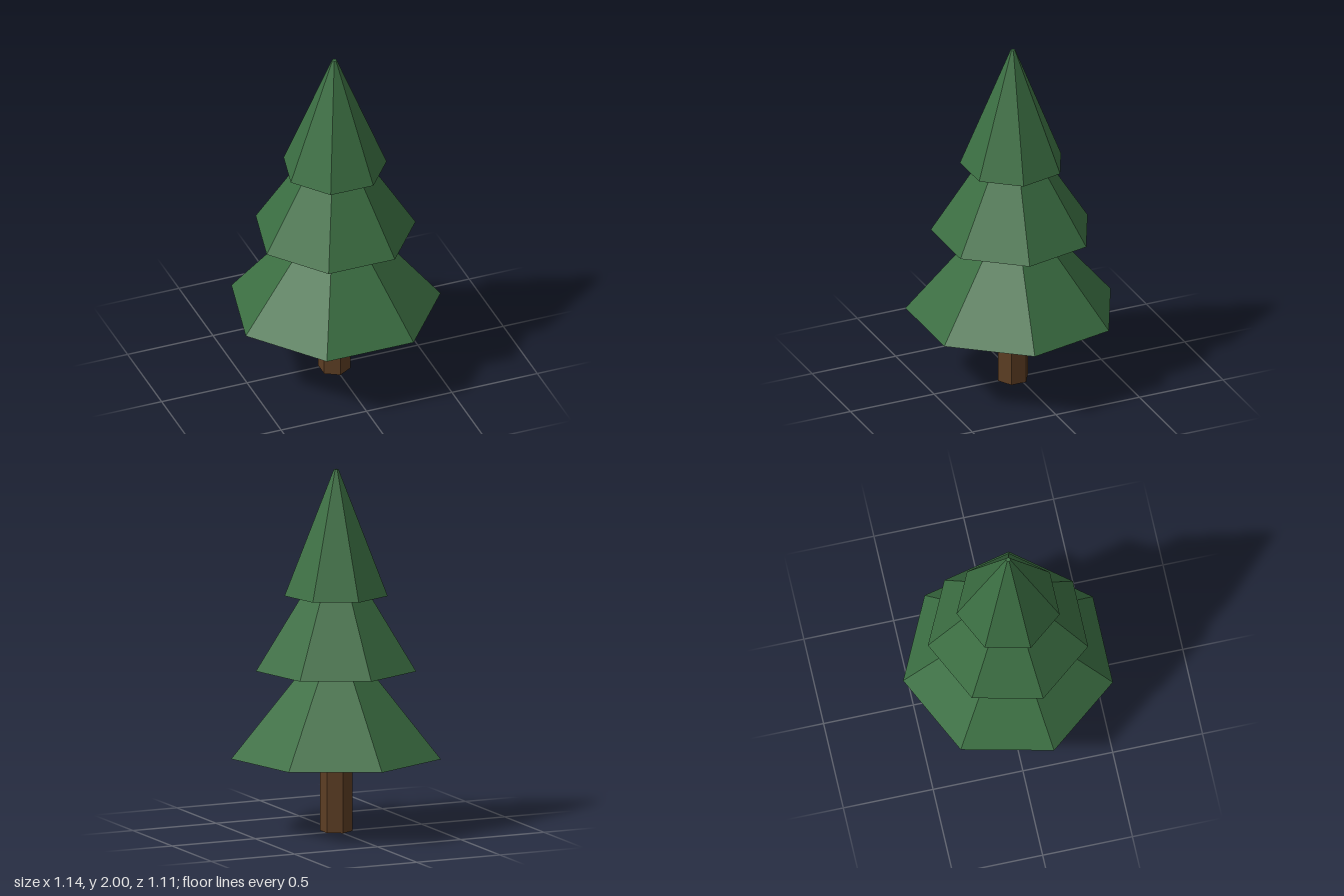
import * as THREE from 'three';

export function createModel() {
  const tree = new THREE.Group();
  tree.name = 'pineTree';

  const mat = (name, color) => {
    const m = new THREE.MeshStandardMaterial({ color, flatShading: true });
    m.name = name;
    return m;
  };
  const foliage = mat('pineGreen', 0x3b6e42);
  const bark = mat('barkBrown', 0x5c3d23);

  // Faceted, capped frustum standing between two heights
  const frustum = (name, material, sides, rBottom, rTop, y0, y1, turn) => {
    const geo = new THREE.CylinderGeometry(rTop, rBottom, y1 - y0, sides, 1, false, turn);
    const mesh = new THREE.Mesh(geo, material);
    mesh.name = name;
    mesh.position.set(0, (y0 + y1) / 2, 0.028);
    tree.add(mesh);
  };

  // Six-sided trunk, tucked slightly into the foliage
  frustum('trunk', bark, 6, 0.089, 0.089, 0, 0.45, 0);

  // Seven-sided foliage tiers, one corner pointing to the back
  const tiers = [
    ['lowerFoliage', 0.585, 0.12, 0.42, 0.98],
    ['middleFoliage', 0.447, 0.12, 0.9, 1.42],
    ['upperFoliage', 0.288, 0.013, 1.31, 2],
  ];
  for (const [name, rBottom, rTop, y0, y1] of tiers) {
    frustum(name, foliage, 7, rBottom, rTop, y0, y1, Math.PI);
  }

  return tree;
}
